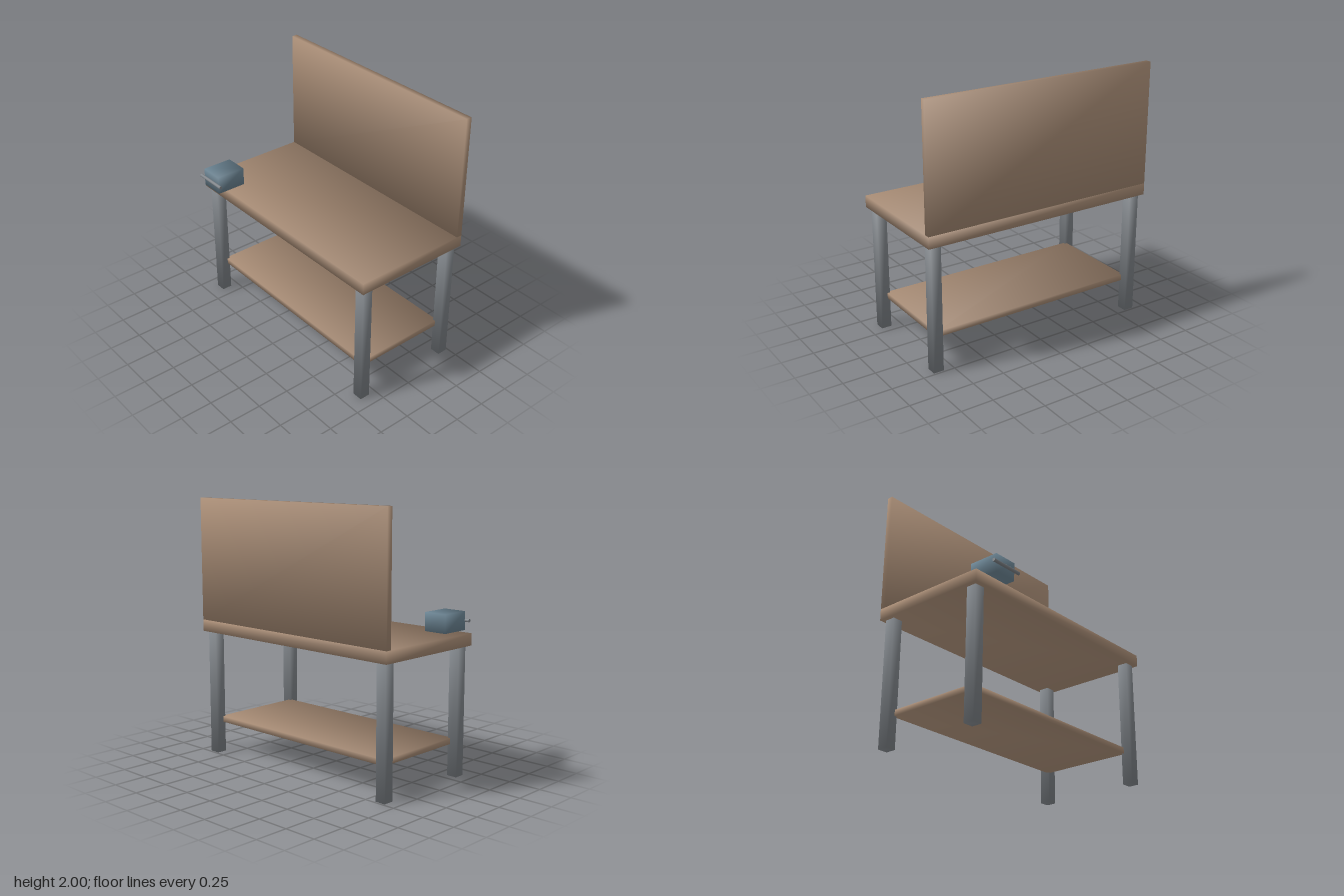
import * as THREE from 'three';

const wood = new THREE.MeshStandardMaterial({ color: 0xa98d76 });
const steel = new THREE.MeshStandardMaterial({ color: 0x80858a });
const blue = new THREE.MeshStandardMaterial({ color: 0x6c8594 });

// Box from its min and max corners, with soft normals shared at each corner
function softBox(name, min, max, material) {
  const size = max.map((v, i) => v - min[i]);
  const geometry = new THREE.BoxGeometry(...size);
  const { position, normal } = geometry.attributes;
  const n = new THREE.Vector3();
  for (let i = 0; i < position.count; i++) {
    n.set(
      Math.sign(position.getX(i)),
      Math.sign(position.getY(i)),
      Math.sign(position.getZ(i))
    ).normalize();
    normal.setXYZ(i, n.x, n.y, n.z);
  }
  const mesh = new THREE.Mesh(geometry, material);
  mesh.name = name;
  mesh.position.set(...min.map((v, i) => v + size[i] / 2));
  return mesh;
}

export function createModel() {
  const bench = new THREE.Group();
  bench.name = 'workbench';

  // Wooden panels
  bench.add(
    softBox('tabletop', [-0.94, 0.97, -0.515], [0.94, 1.06, 0.42], wood),
    softBox('backboard', [-0.94, 1.06, -0.515], [0.94, 2, -0.47], wood),
    softBox('lowerShelf', [-0.85, 0.24, -0.425], [0.85, 0.285, 0.33], wood)
  );

  // Four square legs
  const half = 0.04;
  for (const x of [-0.87, 0.87]) {
    for (const z of [-0.445, 0.35]) {
      const name = (z > 0 ? 'front' : 'back') + (x > 0 ? 'Left' : 'Right') + 'Leg';
      bench.add(softBox(name, [x - half, 0, z - half], [x + half, 0.97, z + half], steel));
    }
  }

  // Vise with a round crossbar handle
  const vise = new THREE.Group();
  vise.name = 'vise';
  vise.add(softBox('viseBody', [-0.825, 1.06, 0.26], [-0.64, 1.2, 0.495], blue));
  const handle = new THREE.Mesh(new THREE.CylinderGeometry(0.0125, 0.0125, 0.26, 12), steel);
  handle.name = 'viseHandle';
  handle.rotation.z = Math.PI / 2;
  handle.position.set(-0.73, 1.132, 0.5025);
  vise.add(handle);
  bench.add(vise);

  return bench;
}
